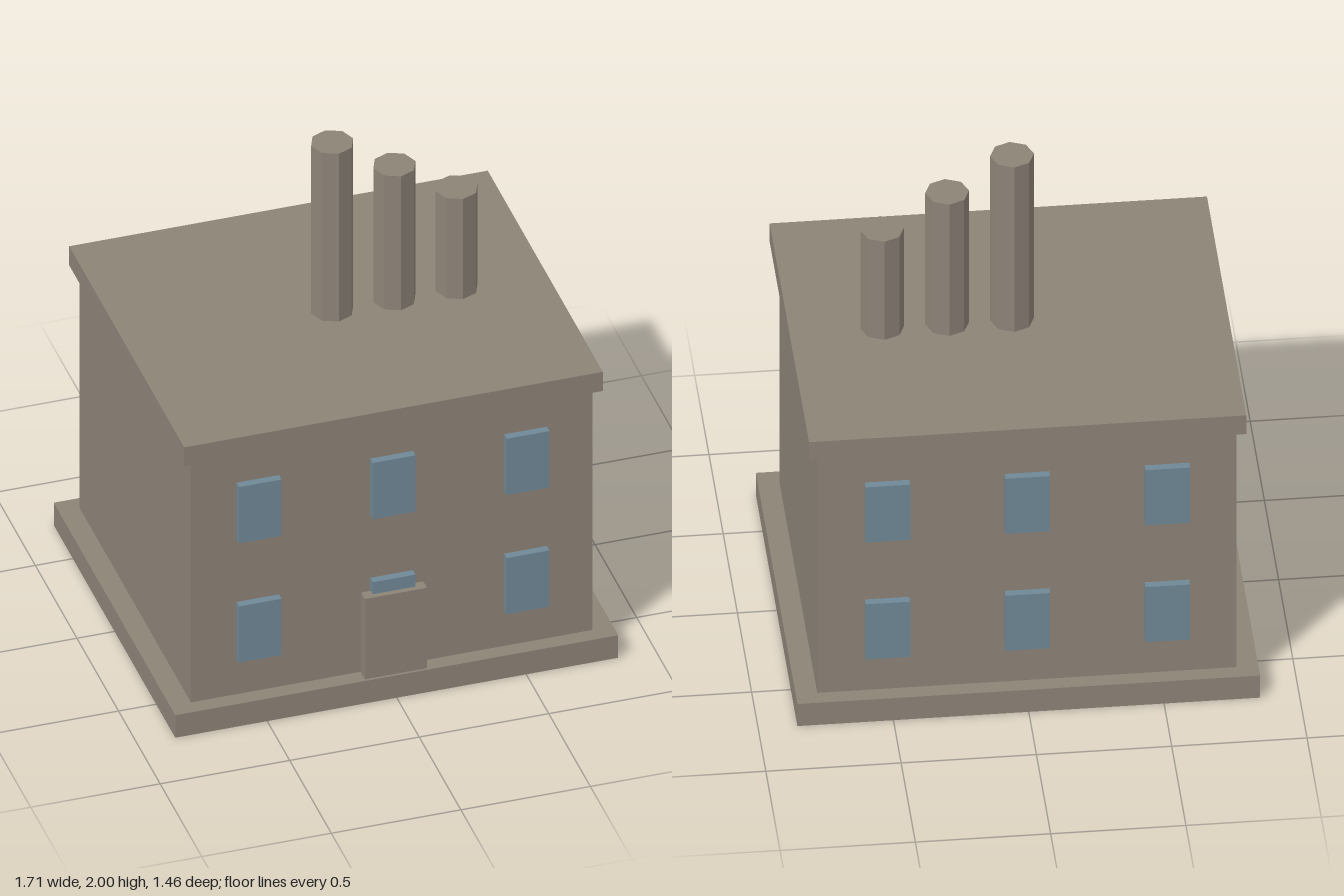
import * as THREE from 'three';

export function createModel() {
  const model = new THREE.Group();
  model.name = 'factory';
  const concrete = new THREE.MeshStandardMaterial({ color: 0x8d8377, flatShading: true });
  concrete.name = 'concrete';
  const glass = new THREE.MeshStandardMaterial({ color: 0x6f8896, flatShading: true });
  glass.name = 'blue glass';

  function add(name, geometry, material, x, y, z) {
    const mesh = new THREE.Mesh(geometry, material);
    mesh.name = name;
    mesh.position.set(x, y, z);
    model.add(mesh);
  }

  // Box given by its size, bottom height and centre
  function box(name, w, h, d, material, x, bottom, z) {
    add(name, new THREE.BoxGeometry(w, h, d), material, x, bottom + h / 2, z);
  }

  // Main building
  box('foundation', 1.71, 0.1, 1.46, concrete, 0, 0, 0);
  box('walls', 1.55, 1.07, 1.336, concrete, 0, 0.1, 0);
  box('roofSlab', 1.616, 0.085, 1.382, concrete, 0, 1.17, 0);

  // Door slab, standing just clear of the front wall
  box('door', 0.24, 0.357, 0.045, concrete, 0, 0.1, 0.6975);

  // Two rows of three windows on front and back
  for (const side of [1, -1]) {
    for (const bottom of [0.26, 0.79]) {
      for (const x of [-0.517, 0, 0.517]) {
        box('window', 0.165, 0.25, 0.033, glass, x, bottom, side * 0.6825);
      }
    }
  }

  // Chimneys, stepping down towards the left
  const roofTop = 1.255;
  [[-0.015, 2], [0.225, 1.85], [0.465, 1.7]].forEach(([x, top]) => {
    const height = top - roofTop;
    add('chimney', new THREE.CylinderGeometry(0.081, 0.081, height, 8), concrete, x, roofTop + height / 2, 0);
  });

  return model;
}
